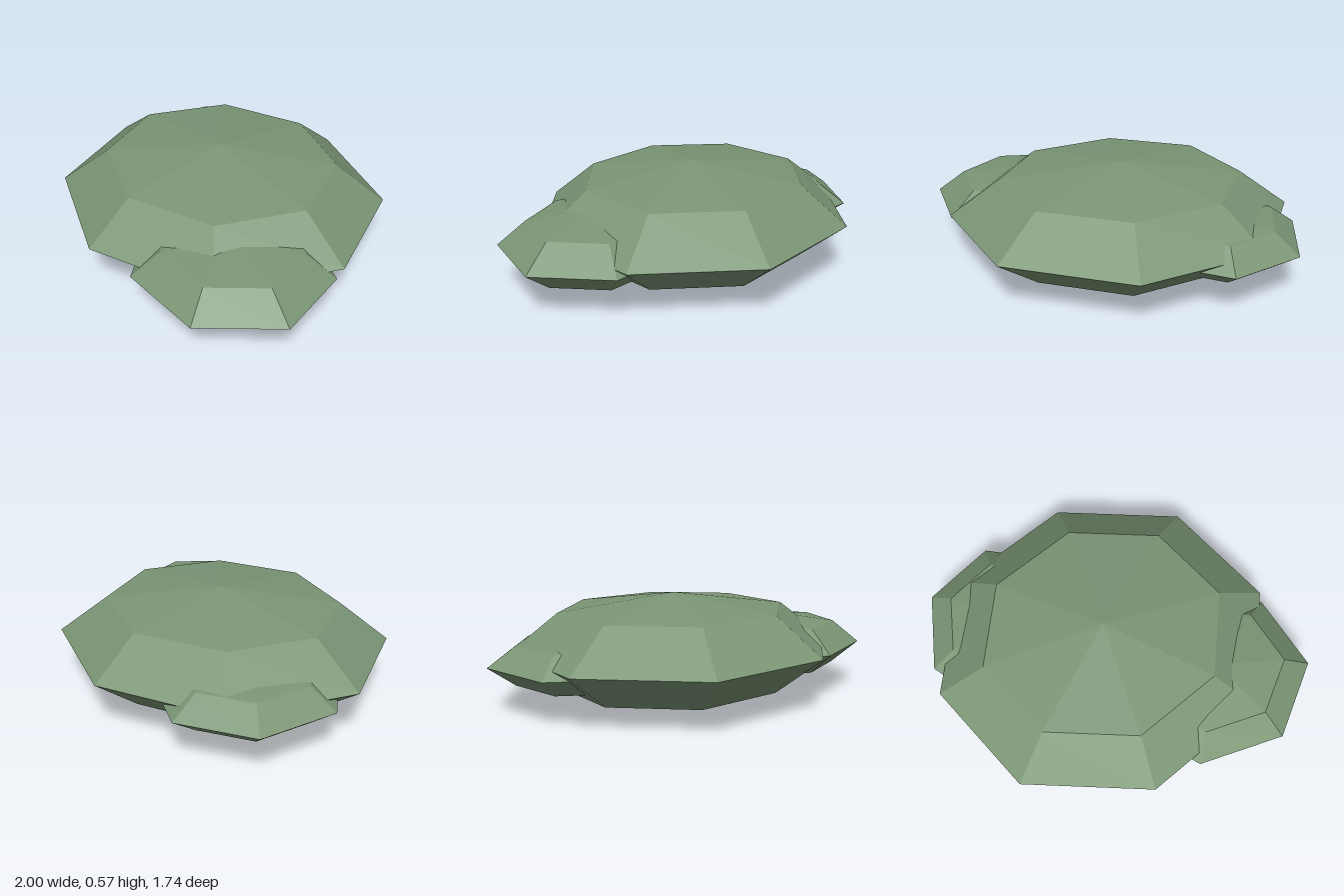
import * as THREE from 'three';

export function createModel() {
  const group = new THREE.Group();
  const leafGreen = new THREE.MeshStandardMaterial({ color: 0x7b9675, flatShading: true });
  leafGreen.name = 'leafGreen';

  // A squashed low-poly ball: sides around, four bands high, first corner turned to the given angle
  function addPad(name, sides, turn, [rx, ry, rz], [x, y, z]) {
    const geometry = new THREE.SphereGeometry(1, sides, 4);
    geometry.rotateY(turn);
    geometry.scale(rx, ry, rz);
    const flat = geometry.toNonIndexed();
    flat.computeVertexNormals();
    const mesh = new THREE.Mesh(flat, leafGreen);
    mesh.name = name;
    mesh.position.set(x, y, z);
    group.add(mesh);
  }

  // Large central clump
  addPad('mainClump', 8, 0, [0.945, 0.287, 0.868], [-0.055, 0.289, 0]);
  // Smaller clumps, each with one corner pointing to the back
  addPad('frontLeftClump', 7, -Math.PI / 2, [0.55, 0.173, 0.5], [0.46, 0.252, 0.36]);
  addPad('backRightClump', 7, -Math.PI / 2, [0.48, 0.144, 0.504], [-0.53, 0.25, -0.277]);

  return group;
}
